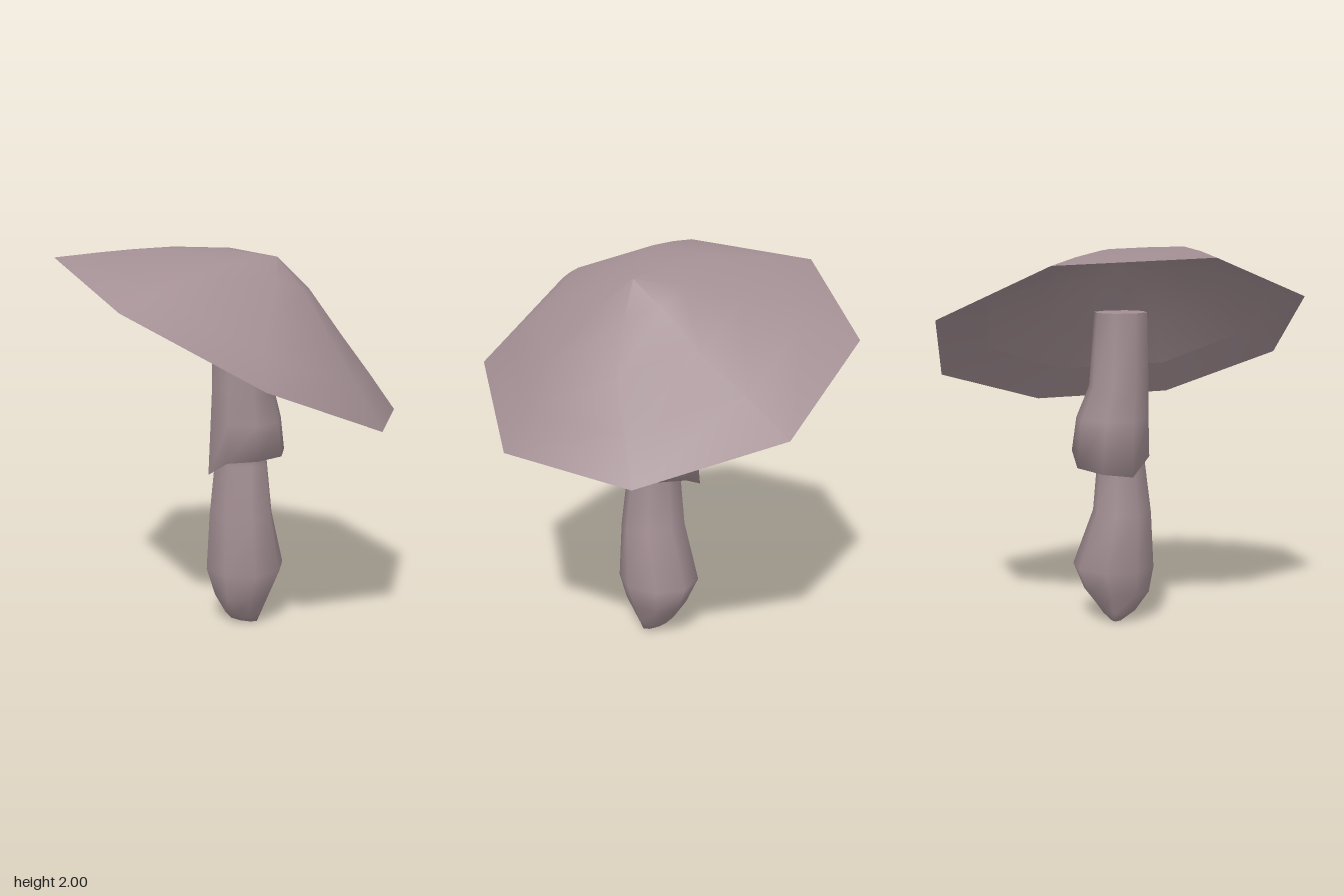
import * as THREE from 'three';

const SIDES = 8;

// Skin a list of rings with smooth normals; rising rings face outward, falling rings inward.
function loft(name, rings, material) {
  const n = rings[0].length;
  const position = [];
  const index = [];
  rings.forEach((ring) => ring.forEach((p) => position.push(p.x, p.y, p.z)));
  for (let i = 0; i < rings.length - 1; i++) {
    for (let j = 0; j < n; j++) {
      const a = i * n + j;
      const b = i * n + ((j + 1) % n);
      index.push(a, a + n, b, b, a + n, b + n);
    }
  }
  const geometry = new THREE.BufferGeometry();
  geometry.setAttribute('position', new THREE.Float32BufferAttribute(position, 3));
  geometry.setIndex(index);
  geometry.computeVertexNormals();
  const mesh = new THREE.Mesh(geometry, material);
  mesh.name = name;
  return mesh;
}

// Eight-sided ring from its extents; y is one height or a height for each corner.
function ring(y, x0, x1, z0, z1) {
  return Array.from({ length: SIDES }, (_, i) => {
    const t = (i / SIDES) * Math.PI * 2;
    return new THREE.Vector3(
      (x0 + x1) / 2 + (Math.cos(t) * (x1 - x0)) / 2,
      Array.isArray(y) ? y[i] : y,
      (z0 + z1) / 2 + (Math.sin(t) * (z1 - z0)) / 2,
    );
  });
}

export function createModel() {
  const flesh = new THREE.MeshStandardMaterial({ color: 0xa38f94, side: THREE.DoubleSide });
  flesh.name = 'mushroom flesh';
  const model = new THREE.Group();
  model.name = 'mushroom';

  // Outline of the tilted cap: half the rim, mirrored through its centre
  const half = [[0.905, -0.385, 0.13], [0.61, -0.115, 0.775], [-0.04, 0.22, 0.965], [-0.675, 0.42, 0.59]]
    .map((p) => new THREE.Vector3(...p));
  const outline = [...half, ...half.map((p) => p.clone().negate())];
  const capRing = (scale, x, y, z) => outline.map((p) => p.clone().multiplyScalar(scale).add(new THREE.Vector3(x, y, z)));
  const rim = capRing(1, 0, 1.535, 0);

  // Convex crown of the cap
  model.add(loft('capCrown', [
    rim,
    capRing(0.78, 0.067, 1.655, 0.029),
    capRing(0.54, 0.14, 1.775, 0.06),
    capRing(0.25, 0.205, 1.89, 0),
    capRing(0, 0.24, 1.95, -0.05),
  ], flesh));

  // Underside: a lip inside the rim, then the hollow vault
  const lipTop = capRing(0.775, 0.055, 1.63, 0.035);
  model.add(loft('capLip', [lipTop, rim], flesh));
  model.add(loft('capVault', [
    capRing(0, 0.23, 1.925, -0.03),
    capRing(0.25, 0.195, 1.865, 0),
    capRing(0.53, 0.13, 1.75, 0.06),
    lipTop,
  ], flesh));

  // Bulbous foot, stem, and the skirt folded down over it
  const stemTop = ring(1.66, -0.095, 0.235, -0.13, 0.15);
  model.add(loft('stemAndSkirt', [
    ring(0, 0.07, 0.075, -0.02, -0.01),
    ring(0.005, -0.01, 0.155, -0.04, 0.03),
    ring(0.05, -0.03, 0.175, -0.1, 0.09),
    ring(0.16, -0.08, 0.22, -0.19, 0.165),
    ring(0.3, -0.14, 0.275, -0.25, 0.19),
    ring(0.6, -0.11, 0.245, -0.14, 0.175),
    ring(0.88, -0.085, 0.215, -0.115, 0.14),
    ring(1.05, -0.08, 0.21, -0.115, 0.135),
    ring([0.92, 0.915, 0.9, 0.81, 0.83, 0.85, 0.92, 0.925], -0.14, 0.275, -0.255, 0.165),
    ring(1.1, -0.12, 0.26, -0.23, 0.16),
    ring(1.27, -0.1, 0.24, -0.16, 0.16),
    stemTop,
  ], flesh));

  // Flat end of the stem inside the cap
  model.add(loft('stemTop', [stemTop, ring(1.66, 0.07, 0.07, 0.01, 0.01)], flesh));

  return model;
}
